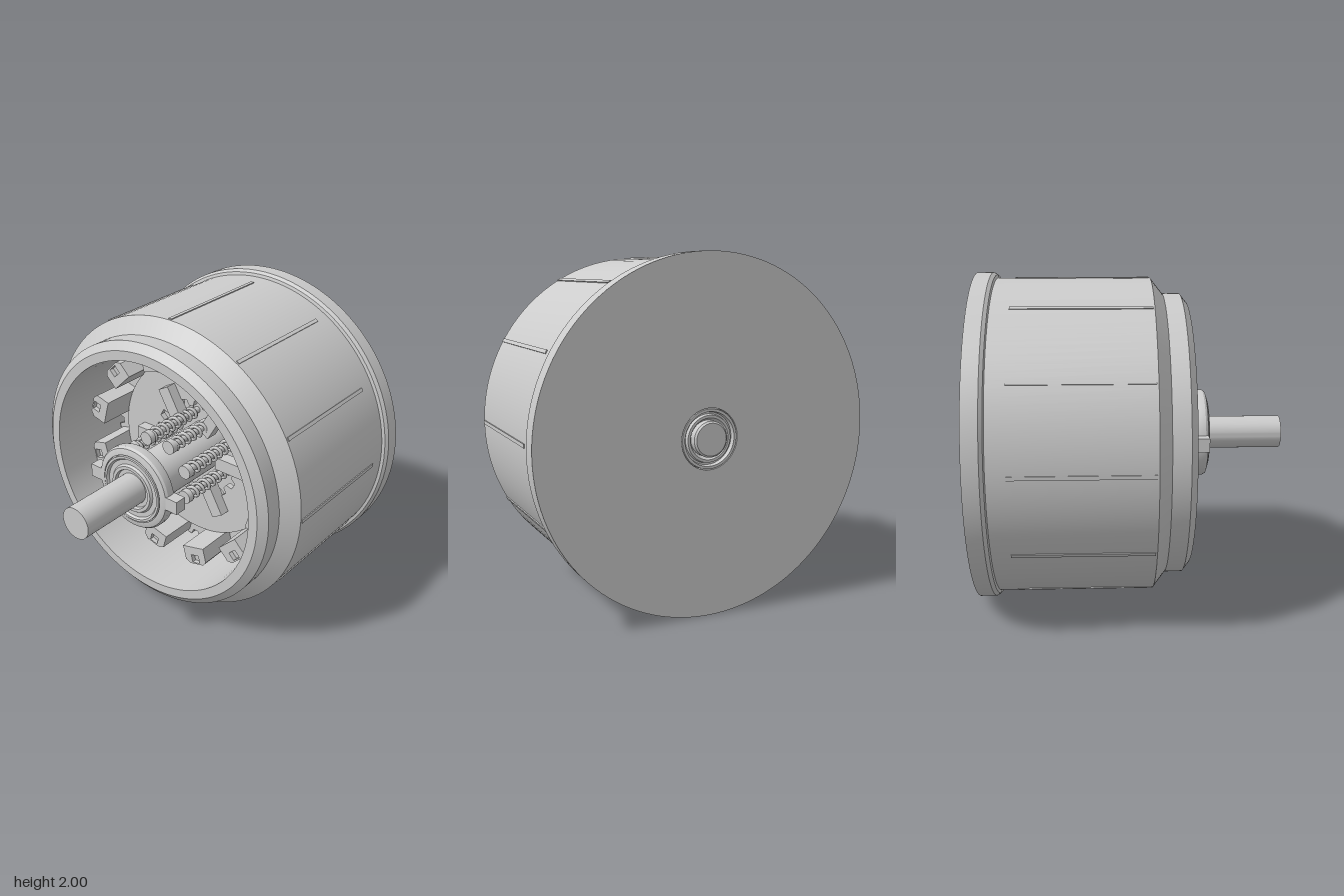
import * as THREE from 'three';
import { toCreasedNormals } from 'three/addons/utils/BufferGeometryUtils.js';

const material = new THREE.MeshStandardMaterial({ color: 0xcccccc });
const TAU = Math.PI * 2;

export function createModel() {
  const model = new THREE.Group();
  // Everything turns about the z axis, at height 1
  const assembly = new THREE.Group();
  assembly.name = 'drumAssembly';
  assembly.position.y = 1;
  model.add(assembly);

  const add = (name, geometry, parent = assembly) => {
    const mesh = new THREE.Mesh(geometry, material);
    mesh.name = name;
    parent.add(mesh);
    return mesh;
  };

  // Turned part: profile of [radius, z], outside from back to front
  const turned = (name, profile, segments = 96) => {
    const points = profile.map(([r, z]) => new THREE.Vector2(r, z));
    const geometry = new THREE.LatheGeometry(points, segments).rotateX(Math.PI / 2);
    return add(name, toCreasedNormals(geometry, 0.4));
  };

  // Repeats a part around the axis
  const around = (name, count, offset, build) => {
    for (let i = 0; i < count; i++) {
      const arm = new THREE.Group();
      arm.name = name;
      arm.rotation.z = offset + (i * TAU) / count;
      build(arm);
      assembly.add(arm);
    }
  };

  const block = (parent, name, r0, r1, width, z0, z1) => {
    const geometry = new THREE.BoxGeometry(r1 - r0, width, z1 - z0);
    add(name, geometry, parent).position.set((r0 + r1) / 2, 0, (z0 + z1) / 2);
  };

  const plate = (name, shape, z, depth) => {
    const geometry = new THREE.ExtrudeGeometry(shape, { depth, bevelEnabled: false, curveSegments: 64 });
    add(name, toCreasedNormals(geometry, 0.4)).position.z = z;
  };

  const circleHole = (r) => new THREE.Path().absarc(0, 0, r, 0, TAU, true);

  // Polygon of teeth stepping between two radii
  const toothPoints = (count, root, tip) => {
    const points = [];
    for (let i = 0; i < count; i++) {
      [[-0.5, root], [-0.28, root], [-0.16, tip], [0.16, tip], [0.28, root]].forEach(([t, r]) => {
        const a = ((i + t) / count) * TAU;
        points.push(new THREE.Vector2(Math.cos(a) * r, Math.sin(a) * r));
      });
    }
    return points;
  };

  // Outer drum, open at the front, with a bearing seat in the back wall
  turned('drum', [
    [0.17, -0.88], [0.17, -0.92], [1, -0.92], [1, -0.825], [0.985, -0.805], [0.966, -0.8],
    [0.966, 0.12], [0.87, 0.195], [0.87, 0.3], [0.82, 0.34], [0.76, 0.34],
    [0.76, -0.5], [0.1, -0.5],
  ], 128);

  // Slim ribs along the drum
  around('drumRib', 12, 0, (arm) => block(arm, 'rib', 0.95, 0.972, 0.022, -0.69, 0.11));

  // Rear bearing rings
  turned('rearBearing', [
    [0.1, -0.89], [0.115, -0.915], [0.13, -0.915], [0.135, -0.895],
    [0.145, -0.895], [0.15, -0.92], [0.165, -0.92], [0.17, -0.88],
  ].map(([r, z]) => [r, z]));

  // Central shaft and hub sleeve
  turned('shaft', [[0, -0.94], [0.09, -0.94], [0.1, -0.93], [0.1, 0.94], [0, 0.94]], 64);
  turned('hubSleeve', [[0.155, -0.5], [0.155, 0.39]], 64);

  // Friction plates with outer teeth
  for (let i = 0; i < 3; i++) {
    const shape = new THREE.Shape(toothPoints(48, 0.69, 0.73));
    shape.holes.push(circleHole(0.56));
    plate('frictionPlate', shape, -0.25 - i * 0.08, 0.05);
  }

  // Pressure disc with a notched central opening
  const disc = new THREE.Shape().absarc(0, 0, 0.6, 0, TAU, false);
  disc.holes.push(new THREE.Path(toothPoints(18, 0.34, 0.3).reverse()));
  plate('pressureDisc', disc, -0.19, 0.04);

  // Backing ring behind the disc opening
  turned('backingRing', [[0.155, -0.3], [0.4, -0.3], [0.4, -0.26], [0.155, -0.26]], 64);

  // Radial fins on the disc
  around('discFin', 6, 0, (arm) => block(arm, 'fin', 0.2, 0.45, 0.085, -0.16, -0.08));

  // Guide blocks with a square socket in the front face
  around('guideBlock', 12, Math.PI / 12, (arm) => {
    const shape = new THREE.Shape([
      [0.6, -0.085], [0.7, -0.085], [0.725, -0.055], [0.725, 0.055], [0.7, 0.085], [0.6, 0.085],
    ].map(([x, y]) => new THREE.Vector2(x, y)));
    shape.holes.push(new THREE.Path([
      [0.66, -0.03], [0.66, 0.03], [0.715, 0.03], [0.715, -0.03],
    ].map(([x, y]) => new THREE.Vector2(x, y))));
    const geometry = new THREE.ExtrudeGeometry(shape, { depth: 0.33, bevelEnabled: false });
    add('guide', geometry, arm).position.z = -0.25;
    block(arm, 'socketFloor', 0.66, 0.715, 0.06, -0.24, 0.05);
  });

  // Coil springs on pins around the hub
  class Helix extends THREE.Curve {
    getPoint(t, target = new THREE.Vector3()) {
      const a = t * 8 * TAU;
      return target.set(0.23 + Math.cos(a) * 0.036, Math.sin(a) * 0.036, -0.24 + t * 0.44);
    }
  }
  const coil = new THREE.TubeGeometry(new Helix(), 128, 0.011, 6);
  const pin = new THREE.CylinderGeometry(0.022, 0.022, 0.5, 16).rotateX(Math.PI / 2);
  const cap = new THREE.CylinderGeometry(0.044, 0.044, 0.04, 20).rotateX(Math.PI / 2);
  around('spring', 8, Math.PI / 8, (arm) => {
    add('coil', coil, arm);
    add('pin', pin, arm).position.set(0.23, 0, -0.01);
    add('springCap', cap, arm).position.set(0.23, 0, 0.22);
  });

  // Front release plate with a bearing set into it
  turned('releasePlate', [
    [0.155, 0.38], [0.23, 0.38], [0.265, 0.395], [0.27, 0.41], [0.27, 0.45], [0.26, 0.465],
    [0.23, 0.475], [0.222, 0.475], [0.222, 0.455], [0.215, 0.455], [0.215, 0.48], [0.2, 0.48],
    [0.19, 0.465], [0.16, 0.465], [0.15, 0.48], [0.13, 0.48], [0.125, 0.46], [0.1, 0.46],
  ]);

  // Two side lugs on the release plate
  around('releaseLug', 2, 0, (arm) => block(arm, 'lug', 0.24, 0.342, 0.085, 0.39, 0.465));

  return model;
}
